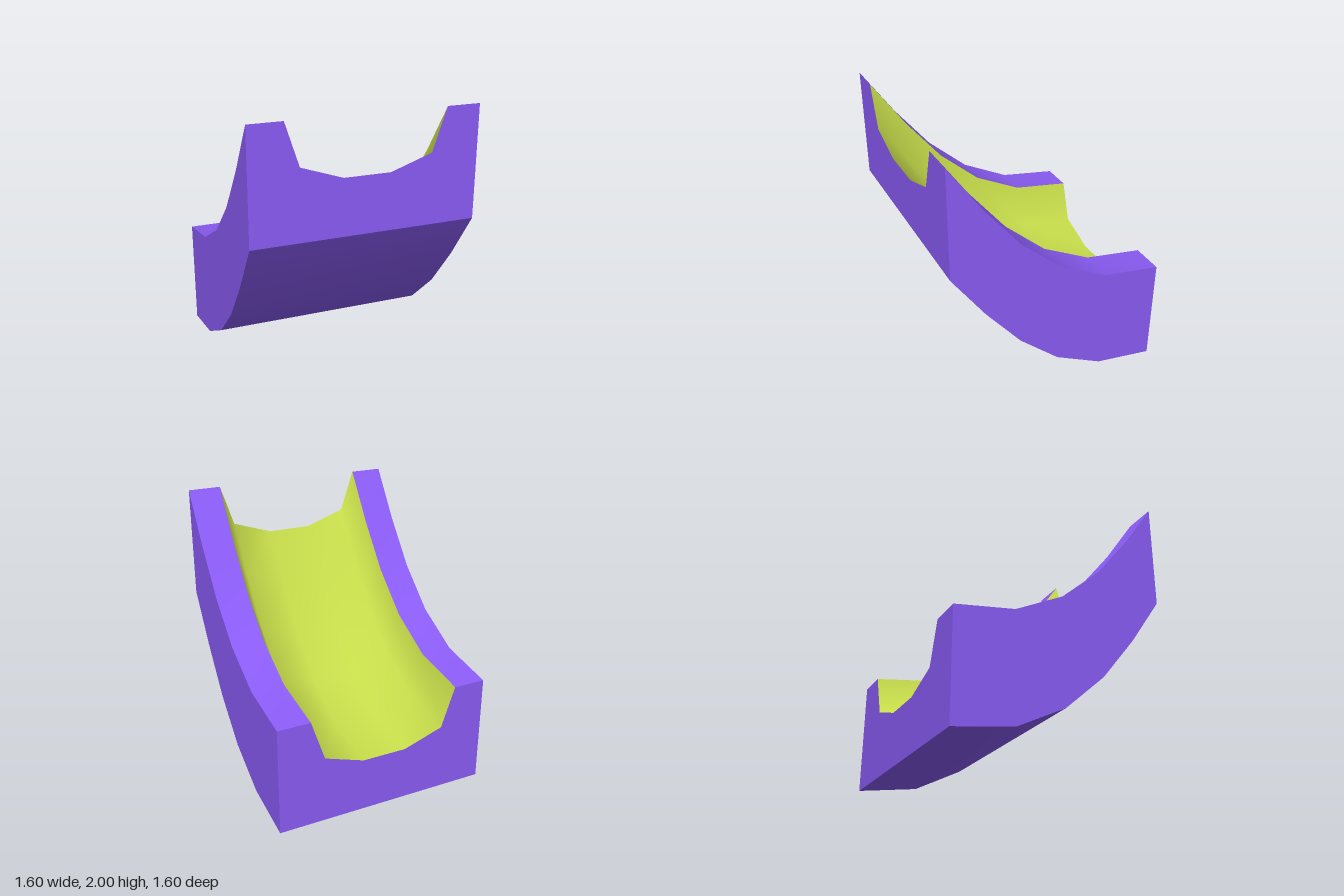
import * as THREE from 'three';
import { mergeGeometries } from 'three/addons/utils/BufferGeometryUtils.js';

// Slope of the underside as [z, y], from the high front to the low back
const PATH = [[0.8, 1.2], [0.56, 0.85], [0.3, 0.525], [0, 0.255], [-0.36, 0.07], [-0.8, 0]];

// Cross-section as [x, height above the underside], counterclockwise from the front
const GROOVE = [[0.56, 0.8], [0.46, 0.5], [0.165, 0.4], [-0.165, 0.4], [-0.46, 0.5], [-0.56, 0.8]];
const OUTER = [[-0.56, 0.8], [-0.8, 0.8], [-0.8, 0], [0.8, 0], [0.8, 0.8], [0.56, 0.8]];

// Sweep a piece of the section along the slope, with smooth normals
function sweep(section) {
  const n = section.length;
  const positions = [], index = [];
  PATH.forEach(([z, y], j) => {
    section.forEach(([x, h], i) => {
      positions.push(x, y + h, z);
      if (j < PATH.length - 1 && i < n - 1) {
        const a = j * n + i, b = a + n;
        index.push(a, b, a + 1, a + 1, b, b + 1);
      }
    });
  });
  const g = new THREE.BufferGeometry();
  g.setAttribute('position', new THREE.Float32BufferAttribute(positions, 3));
  g.setIndex(index);
  g.computeVertexNormals();
  return g;
}

function endCap() {
  const outline = [...OUTER, ...GROOVE.slice(1, -1)].map(([x, y]) => new THREE.Vector2(x, y));
  return new THREE.ShapeGeometry(new THREE.Shape(outline));
}

function addMesh(group, name, geometry, color) {
  const mesh = new THREE.Mesh(geometry, new THREE.MeshStandardMaterial({ color }));
  mesh.name = name;
  group.add(mesh);
}

export function createModel() {
  const group = new THREE.Group();
  group.name = 'curvedSlopeChannel';
  const violet = 0x8b5cf6, lime = 0xc6dc4a;

  // Rims, sides and underside: one strip per section edge keeps the corners sharp
  const strips = OUTER.slice(1).map((p, i) => sweep([OUTER[i], p]));
  addMesh(group, 'slopeBody', mergeGeometries(strips), violet);

  // Flat ends
  addMesh(group, 'frontEnd', endCap().translate(0, PATH[0][1], 0.8), violet);
  addMesh(group, 'backEnd', endCap().rotateY(Math.PI).translate(0, 0, -0.8), violet);

  // Smooth channel between the rims
  addMesh(group, 'channel', sweep(GROOVE), lime);
  return group;
}
